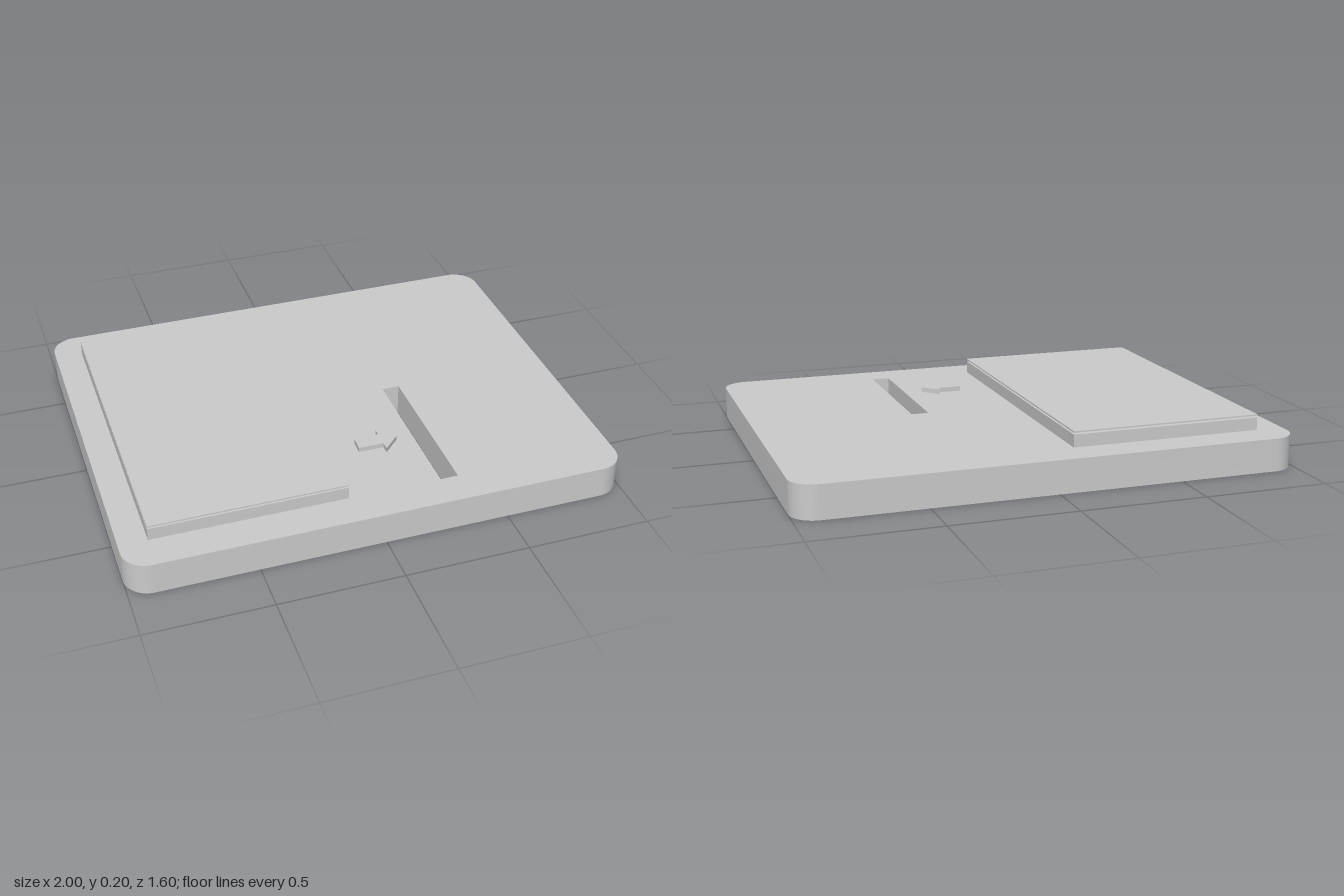
import * as THREE from 'three';
import { toCreasedNormals } from 'three/addons/utils/BufferGeometryUtils.js';

const material = new THREE.MeshStandardMaterial({ color: 0xcccccc });

// Extrude a plan outline (shape y = -z) upward from y = bottom
function slab(name, shape, bottom, top) {
  const geometry = new THREE.ExtrudeGeometry(shape, {
    depth: top - bottom, bevelEnabled: false, curveSegments: 12,
  });
  geometry.rotateX(-Math.PI / 2).translate(0, bottom, 0);
  const mesh = new THREE.Mesh(toCreasedNormals(geometry, Math.PI / 6), material);
  mesh.name = name;
  return mesh;
}

// Box given by its extents on each axis
function box(name, [x0, x1], [y0, y1], [z0, z1]) {
  const mesh = new THREE.Mesh(new THREE.BoxGeometry(x1 - x0, y1 - y0, z1 - z0), material);
  mesh.position.set((x0 + x1) / 2, (y0 + y1) / 2, (z0 + z1) / 2);
  mesh.name = name;
  return mesh;
}

function roundedRect(w, d, r) {
  const s = new THREE.Shape();
  s.absarc(w - r, d - r, r, 0, Math.PI / 2);
  s.absarc(r - w, d - r, r, Math.PI / 2, Math.PI);
  s.absarc(r - w, r - d, r, Math.PI, Math.PI * 1.5);
  s.absarc(w - r, r - d, r, Math.PI * 1.5, Math.PI * 2);
  s.closePath();
  return s;
}

const points = (list) => list.map(([x, z]) => new THREE.Vector2(x, -z));

export function createModel() {
  const model = new THREE.Group();
  model.name = 'slottedPanel';
  const plateTop = 0.133;

  // Rounded plate with a slot cut right through
  const outline = roundedRect(1, 0.8, 0.1);
  outline.holes.push(new THREE.Path(points([[0.27, 0.01], [0.342, 0.01], [0.342, 0.66], [0.27, 0.66]])));
  model.add(slab('basePlate', outline, 0, plateTop));

  // Raised screen block with a thin cover held just above it
  const screenX = [-0.887, -0.107], screenZ = [-0.662, 0.66];
  model.add(box('screenBlock', screenX, [plateTop, 0.184], screenZ));
  model.add(box('screenCover', screenX, [0.191, 0.197], screenZ));

  // Raised arrow pointing at the slot
  const arrow = new THREE.Shape(points([
    [0.03, 0.333], [0.027, 0.396], [0.131, 0.396], [0.131, 0.432],
    [0.198, 0.366], [0.131, 0.302], [0.131, 0.333],
  ]));
  model.add(slab('arrow', arrow, plateTop, 0.153));

  return model;
}
